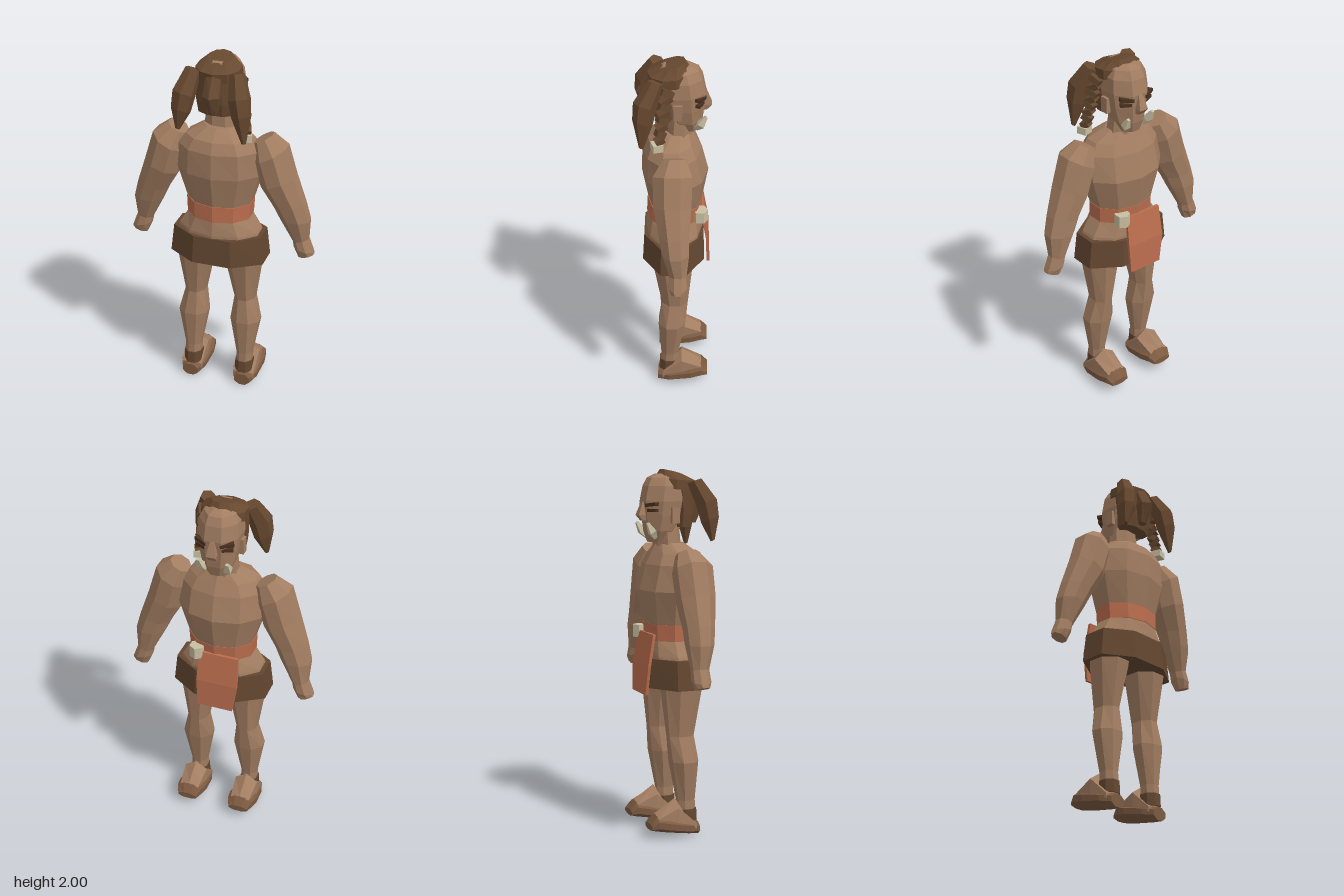
import * as THREE from 'three';

const mat = (name, color) => {
  const m = new THREE.MeshStandardMaterial({ color });
  m.name = name;
  return m;
};

// Faceted solid through rings [centre, u, v]; each ring is an n-gon with its flats at +-u and +-v.
function loft(rings, n = 8) {
  const k = 1 / Math.cos(Math.PI / n);
  const pts = rings.map(([c, u, v]) => Array.from({ length: n }, (_, i) => {
    const a = ((i + 0.5) / n) * Math.PI * 2;
    return [0, 1, 2].map(j => c[j] + k * (u[j] * Math.cos(a) + v[j] * Math.sin(a)));
  }));
  const tris = [];
  const last = rings.length - 1;
  for (let i = 0; i < n; i++) {
    const j = (i + 1) % n;
    for (let r = 0; r < last; r++) {
      tris.push([pts[r][i], pts[r][j], pts[r + 1][j]], [pts[r][i], pts[r + 1][j], pts[r + 1][i]]);
    }
    tris.push([rings[0][0], pts[0][j], pts[0][i]], [rings[last][0], pts[last][i], pts[last][j]]);
  }
  // Turn the surface outwards if its signed volume is negative.
  const vec = p => new THREE.Vector3(...p);
  const volume = tris.reduce((s, [a, b, c]) => s + vec(a).dot(vec(b).cross(vec(c))), 0);
  if (volume < 0) tris.forEach(t => t.reverse());
  const g = new THREE.BufferGeometry();
  g.setAttribute('position', new THREE.Float32BufferAttribute(tris.flat(2), 3));
  g.computeVertexNormals();
  return g;
}

// Upright solid from rows [y, halfWidth, zFront, zBack], centred on x.
const upright = (rows, n = 8, x = 0) => loft(rows.map(([y, w, z0, z1]) =>
  [[x, y, (z0 + z1) / 2], [w, 0, 0], [0, 0, (z1 - z0) / 2]]), n);

// Solid along z from rows [z, halfWidth, yLow, yHigh].
const lengthwise = (rows, n, x) => loft(rows.map(([z, w, y0, y1]) =>
  [[x, (y0 + y1) / 2, z], [w, 0, 0], [0, (y1 - y0) / 2, 0]]), n);

export function createModel() {
  const root = new THREE.Group();
  const skin = mat('skin', 0xa27d61);
  const hair = mat('hair brown', 0x684930);
  const leather = mat('leather brown', 0x634730);
  const shoe = mat('shoe brown', 0x7c5a41);
  const cloth = mat('rust cloth', 0xba6d4e);
  const bone = mat('bone', 0xc9c0a2);
  const dark = mat('dark brown', 0x49301f);

  const add = (name, geometry, material, pos = [0, 0, 0], rot = [0, 0, 0]) => {
    const m = new THREE.Mesh(geometry, material);
    m.name = name;
    m.position.set(...pos);
    m.rotation.set(...rot);
    root.add(m);
    return m;
  };

  // Body
  add('chest', upright([
    [1.17, 0.178, -0.15, 0.128], [1.35, 0.232, -0.18, 0.16], [1.49, 0.222, -0.145, 0.155],
    [1.55, 0.18, -0.115, 0.13], [1.605, 0.09, -0.09, 0.06],
  ], 10), skin);
  add('belt', upright([[1.08, 0.176, -0.148, 0.136], [1.17, 0.181, -0.152, 0.132]], 10), cloth);
  add('hips', upright([[0.96, 0.235, -0.155, 0.145], [1.0, 0.222, -0.155, 0.145], [1.08, 0.174, -0.145, 0.132]], 10), skin);
  add('skirt', upright([[0.825, 0.268, -0.172, 0.166], [0.985, 0.25, -0.165, 0.157]]), leather);
  add('neck', upright([[1.57, 0.092, -0.095, 0.04], [1.7, 0.08, -0.1, 0.03]]), skin);

  // Hanging cloth and belt clasp
  add('loincloth', loft([[1.12, -0.03, 0.11, -0.157], [0.95, -0.028, 0.117, -0.188], [0.79, -0.02, 0.1, -0.195]]
    .map(([y, x, w, z]) => [[x, y, z], [w, 0, 0], [0, 0, 0.008]]), 4), cloth);
  add('beltClasp', new THREE.CylinderGeometry(0.043, 0.043, 0.068, 6).toNonIndexed(), bone, [0.1, 1.115, -0.147])
    .geometry.computeVertexNormals();

  // Head
  add('head', upright([
    [1.61, 0.055, -0.135, -0.03], [1.67, 0.085, -0.152, 0.02], [1.75, 0.102, -0.16, 0.06],
    [1.83, 0.112, -0.168, 0.09], [1.91, 0.106, -0.152, 0.09], [1.955, 0.085, -0.13, 0.08], [1.975, 0.05, -0.09, 0.05],
  ]), skin);
  add('nose', upright([[1.725, 0.022, -0.175, -0.13], [1.755, 0.026, -0.2, -0.13], [1.83, 0.012, -0.172, -0.13]], 4), skin);

  // Hair: tilted cap, back of the head, middle tuft
  add('hairCap', loft([
    [[0, 1.89, 0.015], [0.118, 0, 0], [0, -0.01, 0.105]],
    [[0, 1.942, 0.02], [0.118, 0, 0], [0, -0.008, 0.11]],
    [[0, 1.985, -0.002], [0.065, 0, 0], [0, -0.015, 0.06]],
  ], 10), hair);
  add('backHair', upright([[1.69, 0.1, -0.01, 0.095], [1.76, 0.108, -0.01, 0.11], [1.92, 0.115, -0.03, 0.115]]), hair);
  add('middleTuft', upright([[1.71, 0.02, 0.1, 0.14], [1.82, 0.045, 0.07, 0.185], [1.93, 0.04, 0.05, 0.125]], 6), hair);

  // Braid with its bead, on one side only
  for (let i = 0; i < 8; i++) {
    const t = i / 7;
    const s = 0.058 - 0.016 * t;
    add('braidStrand', new THREE.BoxGeometry(s, 0.034, s * 1.15), i % 2 ? hair : leather,
      [0.125 + 0.045 * t, 1.88 - 0.255 * t, 0.035 + 0.035 * t], [i % 2 ? 0.5 : -0.5, 0.3, i % 2 ? -0.3 : 0.3]);
  }
  add('braidBead', new THREE.BoxGeometry(0.06, 0.04, 0.055), bone, [0.17, 1.588, 0.082], [0, 0.3, 0]);

  for (const s of [1, -1]) {
    const side = s > 0 ? 'left' : 'right';

    // Face details
    add(side + 'Ear', new THREE.BoxGeometry(0.025, 0.085, 0.045), skin, [s * 0.112, 1.755, -0.025]);
    add(side + 'Brow', new THREE.BoxGeometry(0.075, 0.018, 0.03), dark, [s * 0.068, 1.812, -0.142], [0, -s * 0.45, s * 0.12]);
    add(side + 'Eye', new THREE.BoxGeometry(0.06, 0.016, 0.025), dark, [s * 0.07, 1.782, -0.138], [0, -s * 0.45, 0]);
    add(side + 'Tusk', loft([
      [[s * 0.06, 1.632, -0.118], [0.008, 0, 0], [0, 0.006, 0.008]],
      [[s * 0.075, 1.665, -0.143], [0.02, 0, 0], [0, 0.01, 0.016]],
      [[s * 0.08, 1.715, -0.172], [0.008, 0, 0], [0, 0.004, 0.006]],
    ], 4), bone);

    // Pigtails
    const tip = s > 0 ? 1.585 : 1.62;
    add(side + 'Pigtail', loft([
      [0.118, 1.935, 0.085, 0.036], [0.15, 1.82, 0.142, 0.052], [0.165, 1.73, 0.155, 0.045], [0.182, tip, 0.163, 0.01],
    ].map(([x, y, z, r]) => [[s * x, y, z], [r, r * 0.25 * s, 0], [0, r * 0.3, r]]), 6), hair);

    // Arm: rows of inner and outer edge points, then z centre and half depth
    const arm = [
      [0.19, 1.53, 0.29, 1.585, -0.01, 0.06], [0.2, 1.43, 0.37, 1.525, 0, 0.102],
      [0.24, 1.29, 0.42, 1.36, 0, 0.098], [0.31, 1.17, 0.475, 1.2, -0.01, 0.078],
      [0.342, 1.1, 0.502, 1.1, -0.018, 0.07], [0.413, 0.96, 0.497, 0.98, -0.03, 0.045],
      [0.42, 0.925, 0.525, 0.905, -0.03, 0.048], [0.447, 0.862, 0.53, 0.888, -0.03, 0.035],
    ];
    add(side + 'Arm', loft(arm.map(([xi, yi, xo, yo, z, d]) =>
      [[s * (xi + xo) / 2, (yi + yo) / 2, z], [s * (xo - xi) / 2, (yo - yi) / 2, 0], [0, 0, d]])), skin);

    // Leg
    const leg = [
      [0.06, 0.155, 0.045, -0.03, 0.07], [0.2, 0.155, 0.045, -0.032, 0.066], [0.42, 0.155, 0.083, -0.07, 0.08],
      [0.56, 0.147, 0.057, -0.083, 0.06], [0.84, 0.138, 0.104, -0.11, 0.108],
    ];
    add(side + 'Leg', loft(leg.map(([y, x, w, z0, z1]) =>
      [[s * x, y, (z0 + z1) / 2], [w, 0, 0], [0, 0, (z1 - z0) / 2]])), skin);

    // Foot: ankle strap, upper and sole rising towards the toe
    add(side + 'AnkleStrap', upright([[0.08, 0.05, -0.036, 0.078], [0.15, 0.05, -0.036, 0.074]], 8, s * 0.155), leather);
    add(side + 'FootUpper', lengthwise([
      [0.06, 0.06, 0.03, 0.08], [-0.05, 0.066, 0.05, 0.2], [-0.165, 0.055, 0.06, 0.13],
    ], 6, s * 0.158), skin);
    add(side + 'Shoe', lengthwise([
      [0.085, 0.045, 0.0, 0.07], [0.02, 0.072, 0.01, 0.085], [-0.1, 0.082, 0.03, 0.115],
      [-0.165, 0.072, 0.042, 0.128], [-0.2, 0.055, 0.05, 0.085],
    ], 8, s * 0.158), shoe);
  }
  return root;
}
